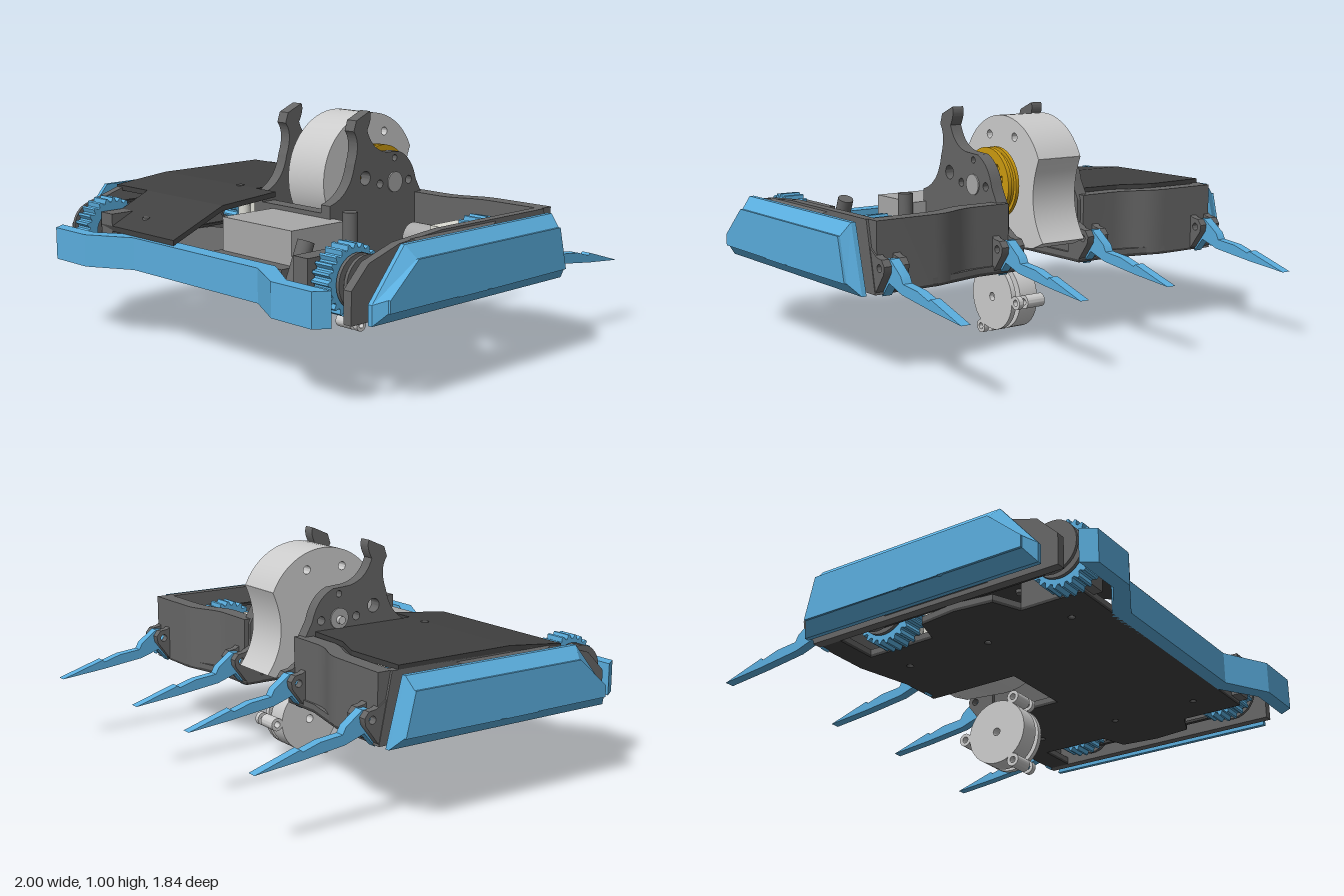
import * as THREE from 'three';
import { toCreasedNormals } from 'three/addons/utils/BufferGeometryUtils.js';

const mat = (color) => new THREE.MeshStandardMaterial({ color, side: THREE.DoubleSide });
const BLUE = mat(0x5aaddd), GREY = mat(0x666666), DARK = mat(0x404040);
const LIGHT = mat(0xcccccc), SILVER = mat(0xa8a8a8), GOLD = mat(0xcc9a10), WHITE = mat(0xdcdcd4);

const toShape = (pts, holes = []) => {
  const s = pts instanceof THREE.Shape ? pts : new THREE.Shape(pts.map(([a, b]) => new THREE.Vector2(a, b)));
  for (const [a, b, r] of holes) s.holes.push(new THREE.Path().absarc(a, b, r, 0, Math.PI * 2, true));
  return s;
};
const slab = (shape, depth) =>
  toCreasedNormals(new THREE.ExtrudeGeometry(shape, { depth, bevelEnabled: false, curveSegments: 20 }), 0.5);
// Side profile of [z, y] points, extruded from x0 to x1
const alongX = (pts, x0, x1, holes) =>
  slab(toShape(pts, holes), x1 - x0).rotateY(-Math.PI / 2).translate(x1, 0, 0);
// Plan outline of [x, z] points, extruded from y0 to y1
const alongY = (pts, y0, y1, holes) =>
  slab(toShape(pts, holes), y1 - y0).rotateX(Math.PI / 2).translate(0, y1, 0);
const box = (x0, x1, y0, y1, z0, z1) =>
  new THREE.BoxGeometry(x1 - x0, y1 - y0, z1 - z0).translate((x0 + x1) / 2, (y0 + y1) / 2, (z0 + z1) / 2);
const rod = (x0, x1, y, z, r) =>
  new THREE.CylinderGeometry(r, r, x1 - x0, 28).rotateZ(Math.PI / 2).translate((x0 + x1) / 2, y, z);
const post = (x, z, y0, y1, r) => new THREE.CylinderGeometry(r, r, y1 - y0, 20).translate(x, (y0 + y1) / 2, z);
const mirrorX = (pts) => [...pts, ...pts.map(([x, z]) => [-x, z]).reverse()];

function add(parent, name, geometry, material) {
  const m = new THREE.Mesh(geometry, material);
  m.name = name;
  parent.add(m);
  return m;
}

// Closed or open skin between two equally long outlines of [z, y] at xa and xb
function skin(a, xa, b, xb) {
  const p = [];
  a.forEach((_, i) => {
    const j = (i + 1) % a.length;
    const A = [xa, a[i][1], a[i][0]], B = [xa, a[j][1], a[j][0]];
    const C = [xb, b[j][1], b[j][0]], D = [xb, b[i][1], b[i][0]];
    p.push(...A, ...B, ...C, ...A, ...C, ...D);
  });
  const g = new THREE.BufferGeometry();
  g.setAttribute('position', new THREE.Float32BufferAttribute(p, 3));
  g.computeVertexNormals();
  return g;
}

// Toothed wheel with an open centre
function wheelShape(z, y) {
  const s = new THREE.Shape(), n = 24;
  for (let i = 0; i < n * 4; i++) {
    const a = (i / (n * 4)) * Math.PI * 2, r = i % 4 < 2 ? 0.142 : 0.125;
    s[i ? 'lineTo' : 'moveTo'](z + r * Math.cos(a), y + r * Math.sin(a));
  }
  return toShape(s, [[z, y, 0.085]]);
}

// Wall, armour, drive and fork for one side, built on +x
function buildSide(frontZ) {
  const g = new THREE.Group();
  add(g, 'sideWall', alongX([[-0.39, 0.33], [-0.33, 0.62], [0.3, 0.62], [0.54, 0.6], [0.7, 0.55],
    [0.79, 0.46], [0.79, 0.33]], 0.85, 0.89), GREY);
  const bump = [[0.08, 0.39], [0.08, 0.57], [0.38, 0.57], [0.38, 0.39]];
  add(g, 'armourMount', skin([[-0.02, 0.35], [-0.02, 0.61], [0.48, 0.61], [0.48, 0.35]], 0.89, bump, 0.93), GREY);

  // Chamfered armour with three bolt recesses
  const outer = [[0.74, 0.33], [0.74, 0.41], [0.57, 0.61], [-0.31, 0.61], [-0.385, 0.33]];
  const inner = [[0.7, 0.38], [0.7, 0.43], [0.55, 0.56], [-0.3, 0.56], [-0.345, 0.38]];
  const bolts = [[0.33, 0.405, 0.028], [0.14, 0.405, 0.028], [0.23, 0.485, 0.028]];
  add(g, 'armourEdge', skin(outer, 0.925, outer, 0.945), BLUE);
  add(g, 'armourChamfer', skin(outer, 0.945, inner, 0.99), BLUE);
  add(g, 'armourFace', alongX(inner, 0.98, 1.0, bolts), BLUE);
  add(g, 'armourBack', alongX(outer, 0.925, 0.94), BLUE);
  for (const [z, y] of bolts) add(g, 'armourBolt', rod(0.94, 0.985, y, z, 0.018), BLUE);

  // Wheels, pulleys and belt
  for (const z of [frontZ, -0.12]) {
    add(g, 'wheel', alongX(wheelShape(z, 0.455), 0.67, 0.76), BLUE);
    add(g, 'wheelHub', rod(0.68, 0.77, 0.455, z, 0.086), GREY);
    add(g, 'pulley', rod(0.785, 0.81, 0.455, z, 0.085), GREY);
    for (const x of [0.77, 0.81]) add(g, 'pulleyFlange', rod(x, x + 0.015, 0.455, z, 0.11), GREY);
    add(g, 'wheelAxle', rod(0.64, 0.86, 0.455, z, 0.02), SILVER);
  }
  for (const y of [0.365, 0.54]) add(g, 'belt', box(0.788, 0.808, y, y + 0.012, -0.12, frontZ), DARK);

  // Rear gear motor and front bearing block
  add(g, 'motorCan', rod(0.36, 0.54, 0.455, -0.11, 0.065), SILVER);
  add(g, 'gearbox', box(0.53, 0.655, 0.37, 0.54, -0.2, -0.03), WHITE);
  for (const z of [-0.235, 0.0]) add(g, 'gearboxScrew', post(0.625, z, 0.36, 0.53, 0.028), WHITE);
  add(g, 'bearingBlock', box(0.58, 0.66, 0.35, 0.545, 0.47, 0.79), GREY);

  // Rear wall with a swept outline
  const wall = new THREE.Shape();
  wall.moveTo(0.88, -0.39);
  wall.lineTo(0.62, -0.385);
  wall.bezierCurveTo(0.5, -0.385, 0.48, -0.32, 0.36, -0.32);
  wall.lineTo(0.2, -0.32);
  wall.lineTo(0.2, -0.25);
  wall.lineTo(0.38, -0.25);
  wall.bezierCurveTo(0.48, -0.25, 0.5, -0.31, 0.62, -0.315);
  wall.lineTo(0.88, -0.32);
  add(g, 'rearWall', alongY(wall, 0.34, 0.62), GREY);

  // Two hinged ground forks
  for (const [x, dz] of [[0.83, 0], [0.227, 0.065]]) {
    const fork = new THREE.Group();
    fork.name = 'fork';
    fork.position.z = dz;
    add(fork, 'forkBlade', alongX([[-0.36, 0.36], [-0.38, 0.32], [-0.43, 0.38], [-0.52, 0.35], [-0.72, 0.325],
      [-0.92, 0.306], [-0.72, 0.368], [-0.71, 0.358], [-0.63, 0.382], [-0.53, 0.392], [-0.515, 0.42], [-0.44, 0.475],
      [-0.4, 0.47]], x - 0.021, x + 0.021, [[-0.418, 0.44, 0.016]]), BLUE);
    for (const s of [-1, 1]) {
      const c = x + s * 0.04;
      add(fork, 'forkBracket', alongX([[-0.32, 0.34], [-0.39, 0.34], [-0.45, 0.42], [-0.455, 0.45],
        [-0.435, 0.475], [-0.4, 0.48], [-0.32, 0.53]], c - 0.017, c + 0.017, [[-0.418, 0.44, 0.016]]), GREY);
    }
    g.add(fork);
  }

  // Weapon upright with a curled horn
  const u = new THREE.Shape();
  u.moveTo(0.27, 0.34);
  u.lineTo(0.27, 0.62);
  u.quadraticCurveTo(0.15, 0.65, 0.125, 0.78);
  u.quadraticCurveTo(0.09, 0.87, 0.13, 0.92);
  u.lineTo(0.115, 0.965);
  u.lineTo(0.035, 1.0);
  u.quadraticCurveTo(0.02, 0.97, 0.05, 0.92);
  u.quadraticCurveTo(0.02, 0.83, -0.07, 0.815);
  u.lineTo(-0.15, 0.81);
  u.quadraticCurveTo(-0.23, 0.78, -0.255, 0.68);
  u.lineTo(-0.3, 0.6);
  u.lineTo(-0.3, 0.34);
  add(g, 'weaponUpright', alongX(u, 0.185, 0.24,
    [[0.06, 0.715, 0.03], [-0.12, 0.785, 0.014], [-0.03, 0.68, 0.018], [-0.21, 0.68, 0.018]]), GREY);
  add(g, 'uprightHub', rod(0.18, 0.246, 0.68, -0.12, 0.045), SILVER);
  return g;
}

export function createModel() {
  const model = new THREE.Group();
  model.name = 'combatRobot';

  // Floor with wheel slots and an open rear bay
  const floor = mirrorX([[0.17, 0.1], [0.17, -0.33], [0.36, -0.33], [0.6, -0.385], [0.85, -0.385], [0.85, -0.28],
    [0.66, -0.28], [0.66, 0.04], [0.78, 0.08], [0.8, 0.25], [0.78, 0.42], [0.66, 0.47], [0.66, 0.75], [0.4, 0.75]].reverse());
  const screws = [-0.5, 0.5].flatMap((x) => [-0.2, 0.2, 0.6].map((z) => [x, z, 0.015]));
  add(model, 'underPlate', alongY(floor, 0.33, 0.342, screws), DARK);
  add(model, 'floor', alongY(floor, 0.342, 0.365, screws), GREY);

  for (const [name, s, z] of [['leftSide', 1, 0.64], ['rightSide', -1, 0.72]]) {
    const side = buildSide(z);
    side.name = name;
    side.scale.x = s;
    model.add(side);
  }

  // Top cover over the right half, bending down to the front
  const drop = (z) => (z <= 0.26 ? 0 : z <= 0.54 ? (z - 0.26) * 0.1 : 0.028 + (z - 0.54) * 0.47);
  const panels = [
    [[-0.89, -0.3], [-0.6, -0.31], [-0.45, -0.25], [-0.235, -0.24], [-0.235, 0.26], [-0.89, 0.26]],
    [[-0.89, 0.26], [-0.11, 0.26], [-0.131, 0.54], [-0.89, 0.54]],
    [[-0.66, 0.54], [-0.131, 0.54], [-0.15, 0.79], [-0.66, 0.79]],
  ];
  for (const pts of panels) {
    const g = alongY(pts, 0.615, 0.638), p = g.attributes.position;
    for (let i = 0; i < p.count; i++) p.setY(i, p.getY(i) - drop(p.getZ(i)));
    g.computeVertexNormals();
    add(model, 'topCover', g, DARK);
  }
  for (const [x, z] of [[-0.35, 0.255], [-0.45, 0.7]])
    add(model, 'coverScrew', post(x, z, 0.6 - drop(z), 0.641 - drop(z), 0.018), GREY);

  // Front bumper and its tongue
  add(model, 'bumper', alongY(mirrorX([[0.4, 0.81], [0.6, 0.92], [0.82, 0.92], [0.86, 0.86], [0.62, 0.86],
    [0.42, 0.735]]), 0.33, 0.47), BLUE);
  add(model, 'bumperTongue', alongY([[-0.4, 0.76], [-0.15, 0.63], [0.08, 0.62], [0.26, 0.68], [0.34, 0.68],
    [0.4, 0.76]], 0.365, 0.385, [[0, 0.66, 0.02], [0.28, 0.7, 0.02]]), BLUE);

  // Battery, its tray and the curved guard behind the weapon
  add(model, 'batteryTray', box(-0.14, 0.325, 0.35, 0.42, 0.23, 0.62), GREY);
  add(model, 'battery', box(-0.12, 0.31, 0.4, 0.565, 0.25, 0.55), SILVER);
  add(model, 'weaponGuard', alongX([[0.11, 0.35], [0.14, 0.46], [0.19, 0.55], [0.2, 0.585], [0.27, 0.585],
    [0.27, 0.35]], -0.22, 0.235), GREY);
  add(model, 'tallPost', post(0.345, 0.255, 0.36, 0.61, 0.033), GREY);
  const boss = add(model, 'leaningPost', post(0, 0, -0.1, 0.1, 0.035), GREY);
  boss.position.set(0.45, 0.46, 0.64);
  boss.rotation.x = -0.4;

  // Drum weapon with a scooped striking edge
  const drum = new THREE.Shape();
  drum.moveTo(-0.38, 0.8);
  drum.absarc(-0.12, 0.685, 0.283, Math.PI - 0.42, -Math.PI * 0.55, true);
  drum.lineTo(-0.34, 0.42);
  drum.lineTo(-0.41, 0.45);
  drum.quadraticCurveTo(-0.29, 0.6, -0.38, 0.8);
  add(model, 'drum', alongX(drum, -0.133, 0.09, [[-0.21, 0.88, 0.018], [-0.03, 0.88, 0.018]]), LIGHT);
  add(model, 'drumShaft', rod(-0.265, 0.2, 0.675, -0.12, 0.017), LIGHT);
  add(model, 'shaftCollar', rod(-0.16, -0.13, 0.675, -0.12, 0.04), SILVER);

  // Weapon motor: bell rings, core and spokes
  for (const [x0, x1] of [[0.112, 0.128], [0.15, 0.168]])
    add(model, 'motorRing', alongX(toShape(new THREE.Shape().absarc(-0.12, 0.68, 0.155, 0, Math.PI * 2),
      [[-0.12, 0.68, 0.115]]), x0, x1), GOLD);
  add(model, 'motorCore', rod(0.09, 0.17, 0.68, -0.12, 0.07), GOLD);
  add(model, 'motorStator', rod(0.12, 0.155, 0.68, -0.12, 0.14), GOLD);
  for (let i = 0; i < 6; i++) {
    const spoke = add(model, 'motorSpoke', new THREE.BoxGeometry(0.016, 0.29, 0.03), GOLD);
    spoke.position.set(0.16, 0.68, -0.12);
    spoke.rotation.x = (i * Math.PI) / 6;
  }

  // Hanging round motor and plate, each with three ears
  for (const [name, x0, x1] of [['hangingMotor', 0, 0.09], ['hangingPlate', 0.112, 0.135]]) {
    const hang = new THREE.Group();
    hang.name = name;
    add(hang, 'disc', alongX(new THREE.Shape().absarc(-0.11, 0.18, 0.145, 0, Math.PI * 2), x0, x1,
      [[-0.11, 0.18, 0.018]]), LIGHT);
    for (let i = 0; i < 3; i++) {
      const a = Math.PI + (i * Math.PI * 2) / 3, z = -0.11 + 0.17 * Math.cos(a), y = 0.18 + 0.17 * Math.sin(a);
      add(hang, 'ear', alongX(new THREE.Shape().absarc(z, y, 0.029, 0, Math.PI * 2), x0, x1, [[z, y, 0.014]]), LIGHT);
    }
    model.add(hang);
  }
  return model;
}
